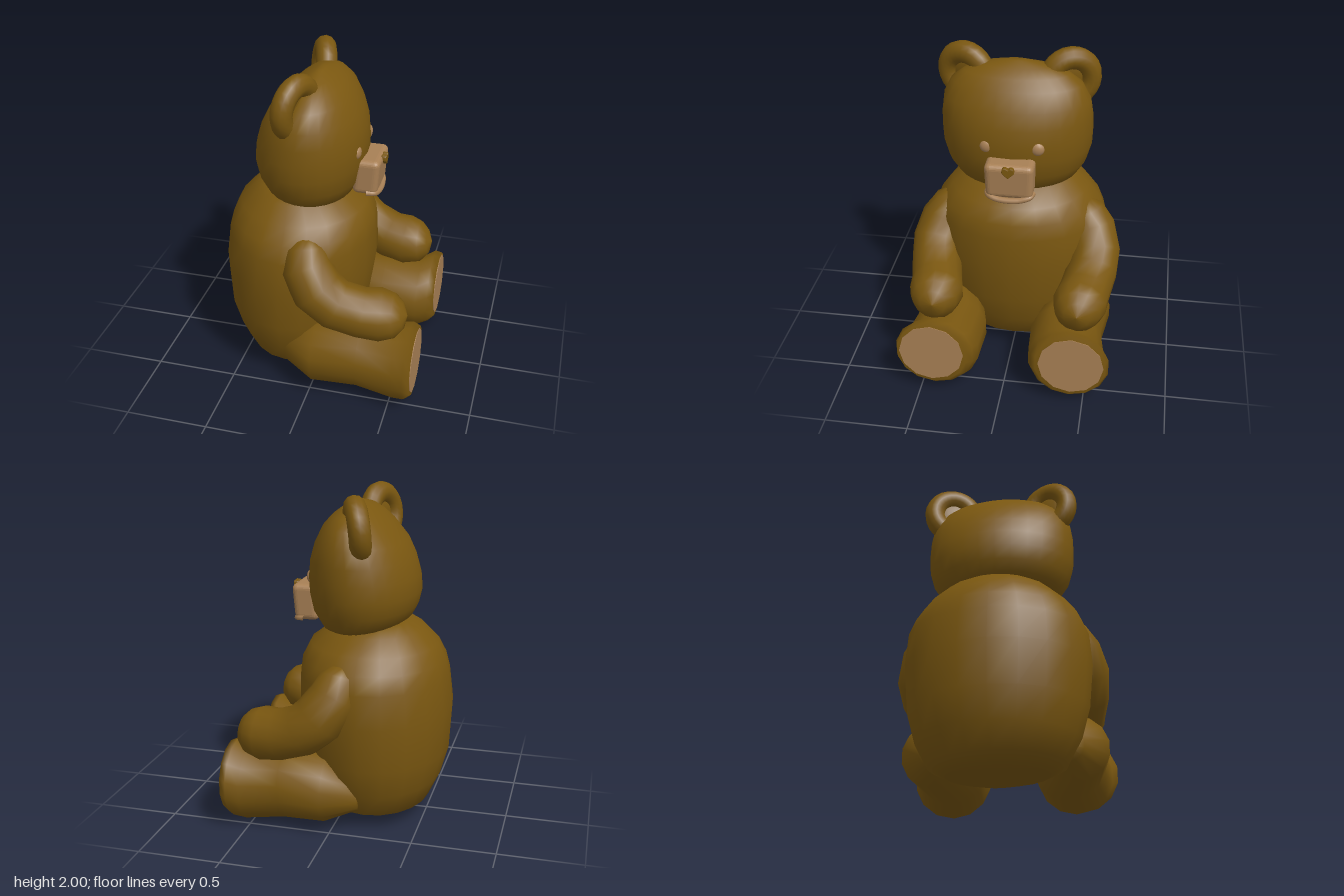
import * as THREE from 'three';
import { RoundedBoxGeometry } from 'three/addons/geometries/RoundedBoxGeometry.js';

const V = (x, y, z) => new THREE.Vector3(x, y, z);
const fur = new THREE.MeshStandardMaterial({ color: 0x7a5710 });
const tan = new THREE.MeshStandardMaterial({ color: 0xa88055 });

function add(parent, name, geometry, material = fur) {
  const mesh = new THREE.Mesh(geometry, material);
  mesh.name = name;
  parent.add(mesh);
  return mesh;
}

// Skin over elliptical rings [centre, a, b], where a x b points along the path
function loft(rings, n) {
  const pos = [], idx = [];
  rings.forEach(([c, a, b], i) => {
    for (let j = 0; j < n; j++) {
      const t = (j / n) * Math.PI * 2;
      const p = c.clone().addScaledVector(a, Math.cos(t)).addScaledVector(b, Math.sin(t));
      pos.push(p.x, p.y, p.z);
      if (i === rings.length - 1) continue;
      const k = (j + 1) % n, p0 = i * n + j, p1 = i * n + k;
      idx.push(p0, p1, p1 + n, p0, p1 + n, p0 + n);
    }
  });
  const g = new THREE.BufferGeometry();
  g.setAttribute('position', new THREE.Float32BufferAttribute(pos, 3));
  g.setIndex(idx);
  g.computeVertexNormals();
  return g;
}

// Upright form from rows [y, back x, front x, half width, tilt], closed at both ends
function upright(rows, n) {
  const closed = [rows[0], ...rows, rows[rows.length - 1]];
  return loft(closed.map(([y, x0, x1, w, tilt = 0], i) => {
    const k = i === 0 || i === closed.length - 1 ? 0 : 1;
    return [V((x0 + x1) / 2, y, 0), V(k * (x1 - x0) / 2, k * tilt, 0), V(0, 0, -w * k)];
  }), n);
}

// Round limb through points [x, y, z, radius]; rings follow the path or a fixed axis
function limb(points, s, n, axis) {
  const c = points.map(([x, y, z]) => V(x, y, z * s));
  return loft(points.map((p, i) => {
    const d = axis ? axis.clone() : c[Math.min(i + 1, c.length - 1)].clone().sub(c[Math.max(i - 1, 0)]).normalize();
    const a = V(0, 0, 1).cross(d).normalize();
    const b = d.clone().cross(a);
    return [c[i], a.multiplyScalar(p[3]), b.multiplyScalar(p[3])];
  }), n);
}

export function createModel() {
  const bear = new THREE.Group();
  bear.name = 'teddyBear';

  add(bear, 'body', upright([
    [0, -0.24, -0.12, 0.1], [0.05, -0.4, 0.04, 0.3], [0.1, -0.51, 0.13, 0.4],
    [0.25, -0.58, 0.2, 0.48], [0.43, -0.63, 0.25, 0.53], [0.7, -0.645, 0.29, 0.555],
    [0.9, -0.62, 0.285, 0.54], [1.0, -0.595, 0.275, 0.5], [1.09, -0.55, 0.23, 0.43],
    [1.18, -0.46, 0.11, 0.33], [1.23, -0.38, 0.0, 0.24],
  ], 20)).position.z = -0.01;

  add(bear, 'head', upright([
    [1.19, -0.34, 0.1, 0.31, -0.03], [1.22, -0.38, 0.15, 0.37, -0.03],
    [1.3, -0.415, 0.205, 0.42, -0.015], [1.4, -0.434, 0.228, 0.448], [1.5, -0.425, 0.232, 0.452],
    [1.6, -0.395, 0.222, 0.45], [1.7, -0.345, 0.192, 0.435], [1.8, -0.26, 0.14, 0.385],
    [1.86, -0.195, 0.085, 0.31], [1.9, -0.14, 0.03, 0.215], [1.93, -0.08, -0.03, 0.06],
  ], 28));

  for (const s of [1, -1]) {
    const side = s > 0 ? 'left' : 'right';

    // Ears: rounded rim around a thin inner disc, turned outwards
    const ear = new THREE.Group();
    ear.name = side + 'Ear';
    ear.rotation.order = 'YXZ';
    ear.rotation.set(0.1, s > 0 ? 1.21 : Math.PI - 1.21, 0);
    ear.position.set(-0.12, 1.805, s * 0.305);
    ear.scale.y = 1.04;
    add(ear, 'earRim', new THREE.TorusGeometry(0.125, 0.064, 12, 24));
    add(ear, 'earInner', new THREE.SphereGeometry(0.12, 16, 10)).scale.z = 0.25;
    bear.add(ear);

    const eye = add(bear, side + 'Eye', new THREE.SphereGeometry(0.043, 14, 10), tan);
    eye.scale.x = 0.65;
    eye.position.set(0.195, 1.49, s * 0.147 - 0.008);

    // Arms: bent at the elbow, with a round paw
    add(bear, side + 'Arm', limb([
      [-0.06, 1.03, 0.38, 0], [-0.058, 1.01, 0.39, 0.07], [-0.05, 0.96, 0.41, 0.12],
      [-0.03, 0.86, 0.455, 0.15], [0.05, 0.735, 0.49, 0.16], [0.15, 0.65, 0.485, 0.155],
      [0.3, 0.595, 0.455, 0.155], [0.42, 0.585, 0.435, 0.163], [0.505, 0.59, 0.43, 0.135],
      [0.555, 0.597, 0.43, 0.08], [0.58, 0.6, 0.43, 0],
    ], s, 14)).position.z = -0.012;

    // Legs: stretched forward, flared into the foot
    add(bear, side + 'Leg', limb([
      [-0.19, 0.22, 0.38, 0], [-0.16, 0.225, 0.38, 0.1], [0.03, 0.262, 0.415, 0.205],
      [0.3, 0.25, 0.36, 0.222], [0.53, 0.24, 0.385, 0.235], [0.6, 0.27, 0.412, 0.24],
      [0.64, 0.285, 0.42, 0.215], [0.64, 0.285, 0.42, 0],
    ], s, 14, V(1, 0, 0)));
    const sole = add(bear, side + 'Sole', new THREE.CylinderGeometry(0.197, 0.197, 0.02, 12), tan);
    sole.rotation.z = -Math.PI / 2;
    sole.position.set(0.634, 0.287, s * 0.423);
  }

  // Muzzle: rounded block, narrower towards the front and the chin
  const block = new RoundedBoxGeometry(0.15, 0.22, 0.29, 3, 0.035);
  const p = block.attributes.position;
  for (let i = 0; i < p.count; i++) {
    const low = 0.5 - p.getY(i) / 0.22;
    p.setX(i, p.getX(i) - 0.018 * low);
    p.setZ(i, p.getZ(i) * (1 - 0.05 * low));
  }
  block.computeVertexNormals();
  add(bear, 'muzzle', block, tan).position.set(0.255, 1.32, -0.005);

  // Lower lip, turned up at the corners
  const lip = new THREE.CatmullRomCurve3([
    V(0.25, 1.225, 0.13), V(0.295, 1.222, 0.115), V(0.31, 1.205, 0.05),
    V(0.31, 1.205, -0.06), V(0.295, 1.222, -0.125), V(0.25, 1.225, -0.14),
  ]);
  add(bear, 'lowerLip', new THREE.TubeGeometry(lip, 20, 0.018, 8), tan);

  // Heart-shaped nose
  const heart = new THREE.Shape();
  heart.moveTo(0, -0.03);
  heart.lineTo(0.032, 0.0);
  heart.quadraticCurveTo(0.035, 0.03, 0.015, 0.027);
  heart.lineTo(0, 0.018);
  heart.lineTo(-0.015, 0.027);
  heart.quadraticCurveTo(-0.035, 0.03, -0.032, 0.0);
  heart.closePath();
  const nose = add(bear, 'nose', new THREE.ExtrudeGeometry(heart, {
    depth: 0.02, bevelThickness: 0.005, bevelSize: 0.004, bevelSegments: 2, curveSegments: 5,
  }));
  nose.rotation.y = Math.PI / 2;
  nose.position.set(0.322, 1.398, -0.005);

  return bear;
}
